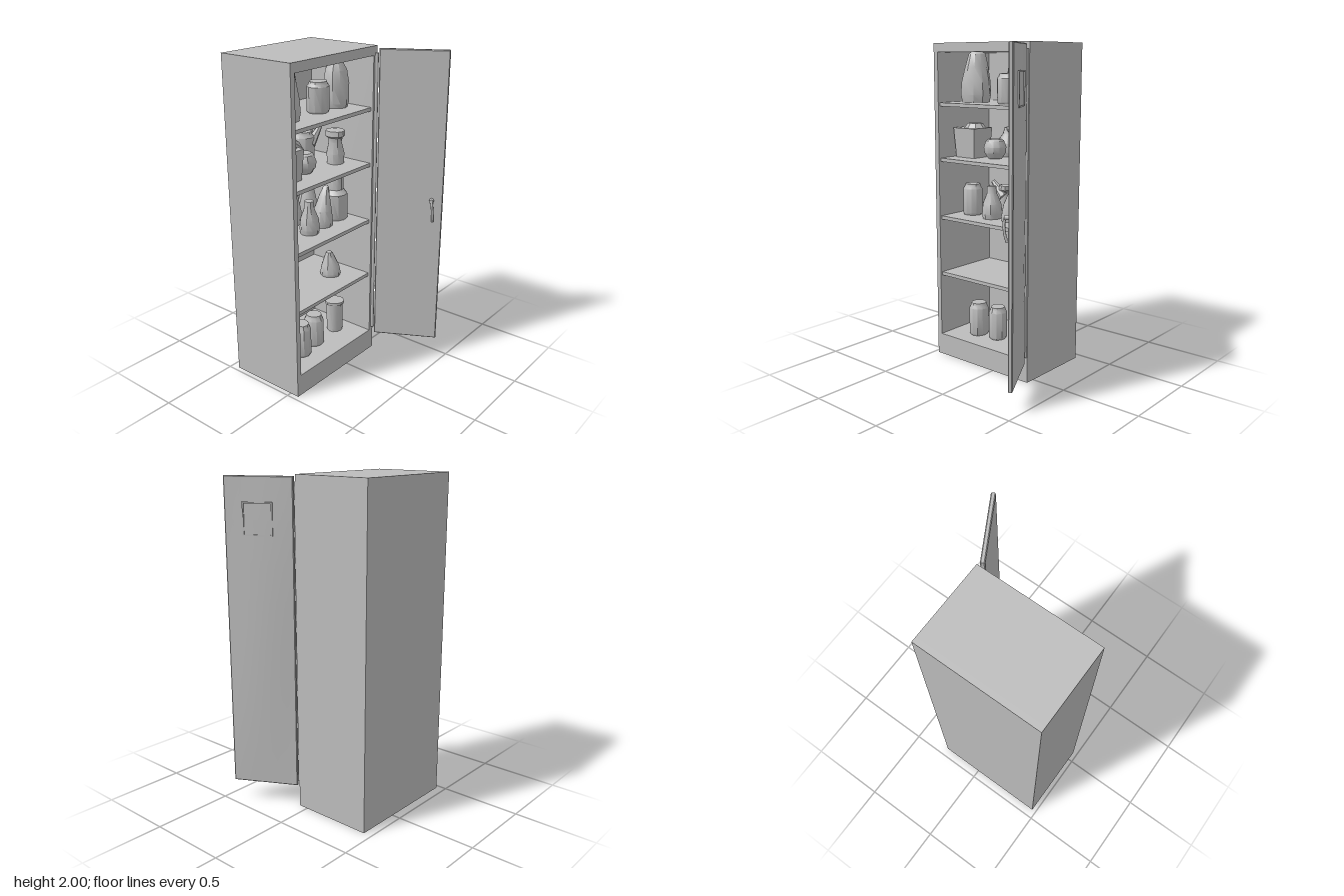
import * as THREE from 'three';
import { toCreasedNormals } from 'three/addons/utils/BufferGeometryUtils.js';

const V2 = (p) => new THREE.Vector2(p[0], p[1]);

// Profiles as [radius, height], both 0..1
const PROFILES = {
  can: [[0, 0], [0.9, 0], [1, 0.06], [1, 0.84], [0.82, 0.93], [0.78, 1], [0, 1]],
  glass: [[0, 0], [0.8, 0], [0.85, 0.1], [0.85, 0.9], [1, 0.92], [1, 1], [0, 1]],
  vase: [[0, 0], [0.9, 0], [1, 0.15], [0.95, 0.4], [0.75, 0.7], [0.55, 0.95], [0.4, 1], [0, 1]],
  dome: [[0, 0], [0.9, 0], [1, 0.1], [1, 0.5], [0.85, 0.78], [0.5, 0.97], [0, 1]],
  cone: [[0, 0], [0.95, 0], [1, 0.1], [0.85, 0.4], [0.5, 0.75], [0.28, 0.95], [0, 1]],
  pear: [[0, 0], [0.9, 0], [1, 0.15], [0.9, 0.45], [0.5, 0.75], [0.45, 0.97], [0, 1]],
  bowl: [[0, 0], [0.6, 0], [0.95, 0.3], [1, 0.6], [0.8, 0.92], [0.6, 1], [0, 0.96]],
  bottle: [[0, 0], [0.95, 0], [1, 0.05], [1, 0.58], [0.68, 0.68], [0.68, 0.95], [0.55, 1], [0, 1]],
  flask: [[0, 0], [0.85, 0], [0.9, 0.3], [0.65, 0.62], [0.75, 0.75], [1, 0.8], [0.95, 0.95], [0, 1]],
};

// name, profile, x, z, base y, height, radius, lean of the tip in x
const ITEMS = [
  ['tallVase', 'vase', -0.315, -0.15, 1.64, 0.31, 0.1, 0.01],
  ['backVase', 'vase', -0.115, -0.31, 1.64, 0.31, 0.075, 0],
  ['squatJar', 'can', -0.035, -0.13, 1.64, 0.18, 0.068, 0],
  ['domedJar', 'dome', 0.14, -0.14, 1.64, 0.28, 0.08, 0],
  ['roundBowl', 'bowl', -0.15, -0.14, 1.3, 0.12, 0.07, 0],
  ['smallFlask', 'flask', 0.12, -0.13, 1.295, 0.215, 0.06, 0],
  ['backJar', 'can', -0.01, -0.28, 1.295, 0.2, 0.07, 0],
  ['backPot', 'pear', -0.2, -0.32, 1.295, 0.19, 0.09, 0.03],
  ['sideJar', 'can', -0.4, -0.27, 1.295, 0.2, 0.035, 0],
  ['tinCan', 'can', -0.33, -0.13, 0.925, 0.2, 0.06, 0],
  ['pearJar', 'pear', -0.15, -0.11, 0.925, 0.21, 0.063, 0],
  ['leaningCone', 'cone', -0.01, -0.13, 0.925, 0.25, 0.065, 0.045],
  ['neckedBottle', 'bottle', 0.14, -0.15, 0.925, 0.285, 0.077, 0],
  ['backFlask', 'flask', -0.21, -0.3, 0.925, 0.19, 0.05, 0.02],
  ['backSpout', 'cone', 0.04, -0.29, 0.925, 0.27, 0.07, 0.01],
  ['backPitcher', 'cone', -0.1, -0.3, 0.925, 0.21, 0.07, 0.03],
  ['shelfCone', 'cone', 0.08, -0.14, 0.555, 0.165, 0.068, -0.012],
  ['lowerCanLeft', 'can', -0.255, -0.1, 0.14, 0.215, 0.062, 0],
  ['lowerCanMiddle', 'can', -0.11, -0.12, 0.14, 0.21, 0.06, 0],
  ['lowerGlass', 'glass', 0.11, -0.13, 0.14, 0.215, 0.06, 0],
];

export function createModel() {
  const root = new THREE.Group();
  const grey = new THREE.MeshStandardMaterial({ color: 0xbcbcbc });

  const add = (parent, name, geo, x = 0, y = 0, z = 0) => {
    const m = new THREE.Mesh(geo, grey);
    m.name = name;
    m.position.set(x, y, z);
    parent.add(m);
    return m;
  };
  const box = (parent, name, x0, x1, y0, y1, z0, z1) =>
    add(parent, name, new THREE.BoxGeometry(x1 - x0, y1 - y0, z1 - z0),
      (x0 + x1) / 2, (y0 + y1) / 2, (z0 + z1) / 2);
  const rect = (P, x0, x1, y0, y1) =>
    new P([[x0, y0], [x1, y0], [x1, y1], [x0, y1]].map(V2));

  // Cabinet: hollow frame and back panel
  const cabinet = new THREE.Group();
  cabinet.name = 'cabinet';
  root.add(cabinet);
  const frame = rect(THREE.Shape, -0.472, 0.275, 0, 2);
  frame.holes.push(rect(THREE.Path, -0.44, 0.24, 0.137, 1.945));
  add(cabinet, 'cabinetShell',
    new THREE.ExtrudeGeometry(frame, { depth: 0.475, bevelEnabled: false }), 0, 0, -0.415);
  box(cabinet, 'backPanel', -0.472, 0.275, 0, 2, -0.447, -0.415);
  [0.555, 0.925, 1.295, 1.64].forEach((top) =>
    box(cabinet, 'shelf', -0.44, 0.24, top - 0.022, top, -0.415, 0.045));

  // Jars and vases: slightly irregular lathes
  const contents = new THREE.Group();
  contents.name = 'contents';
  root.add(contents);
  ITEMS.forEach(([name, kind, x, z, y, h, r, lean], n) => {
    const g = new THREE.LatheGeometry(PROFILES[kind].map(([a, b]) => V2([a * r, b * h])), 11);
    const p = g.attributes.position;
    for (let i = 0; i < p.count; i++) {
      const t = p.getY(i) / h;
      const a = Math.atan2(p.getZ(i), p.getX(i));
      const k = 1 + 0.04 * Math.sin(2 * a + n) + 0.025 * Math.sin(3 * a + 4 * t + n);
      p.setXYZ(i, p.getX(i) * k + lean * t * t, p.getY(i), p.getZ(i) * k);
    }
    add(contents, name, toCreasedNormals(g, 0.6), x, y, z);
  });

  // Faceted square pot with a lid
  const pot = new THREE.CylinderGeometry(0.122, 0.105, 0.185, 4, 1);
  pot.rotateY(Math.PI / 4);
  add(contents, 'squarePot', toCreasedNormals(pot, 0.5), -0.335, 1.388, -0.14);
  add(contents, 'potLid', toCreasedNormals(new THREE.CylinderGeometry(0.045, 0.07, 0.03, 8), 0.5),
    -0.315, 1.495, -0.14);
  // Spouts reaching out of the jars at the back
  [[-0.1, 1.44, -0.27, 0.9], [0.06, 1.46, -0.24, -0.8], [-0.24, 1.08, -0.28, 0.8]]
    .forEach(([x, y, z, tilt]) => {
      const spout = add(contents, 'spout',
        toCreasedNormals(new THREE.CylinderGeometry(0.015, 0.035, 0.13, 7), 0.5), x, y, z);
      spout.rotation.z = tilt;
    });

  // Open door: local x runs from hinge to free edge, local -z is outside
  const door = new THREE.Group();
  door.name = 'door';
  door.position.set(0.359, 1.057, 0.263);
  door.rotation.y = -1.065;
  root.add(door);
  const W = 0.405, H = 1.862;
  const outline = rect(THREE.Shape, -W / 2 + 0.005, W / 2 - 0.005, -H / 2 + 0.005, H / 2 - 0.005);
  add(door, 'doorPanel', new THREE.ExtrudeGeometry(outline,
    { depth: 0.016, bevelThickness: 0.005, bevelSize: 0.005, bevelSegments: 1 }), 0, 0, -0.008);

  // Gently bulging outer skin
  const skin = new THREE.PlaneGeometry(W - 0.02, H - 0.03, 8, 8);
  const q = skin.attributes.position;
  for (let i = 0; i < q.count; i++) {
    const u = q.getX(i) / (W - 0.02), v = q.getY(i) / (H - 0.03);
    q.setZ(i, 0.013 * Math.cos(Math.PI * u) * Math.cos(Math.PI * v));
  }
  skin.rotateY(Math.PI);
  skin.computeVertexNormals();
  add(door, 'doorSkin', skin, 0, 0, -0.0132);

  // Raised square rim on the outside
  const rim = rect(THREE.Shape, -0.088, 0.088, -0.095, 0.095);
  rim.holes.push(rect(THREE.Path, -0.08, 0.08, -0.087, 0.087));
  add(door, 'ventRim', new THREE.ExtrudeGeometry(rim, { depth: 0.012, bevelEnabled: false }),
    0.005, 0.693, -0.024);

  // Handle: knob and hanging lever
  const knob = add(door, 'handleKnob', new THREE.CylinderGeometry(0.014, 0.014, 0.035, 12), 0.135, 0.027, 0.028);
  knob.rotation.x = Math.PI / 2;
  const lever = new THREE.CatmullRomCurve3([[0.135, 0.03, 0.04], [0.14, 0, 0.047],
    [0.145, -0.06, 0.042], [0.145, -0.105, 0.03]].map((p) => new THREE.Vector3(...p)));
  add(door, 'handleLever', new THREE.TubeGeometry(lever, 12, 0.008, 8), 0, 0, 0);

  // Hinge pin between cabinet and door
  add(root, 'hinge', new THREE.CylinderGeometry(0.011, 0.011, 1.8, 10), 0.262, 1.06, 0.066);
  return root;
}
